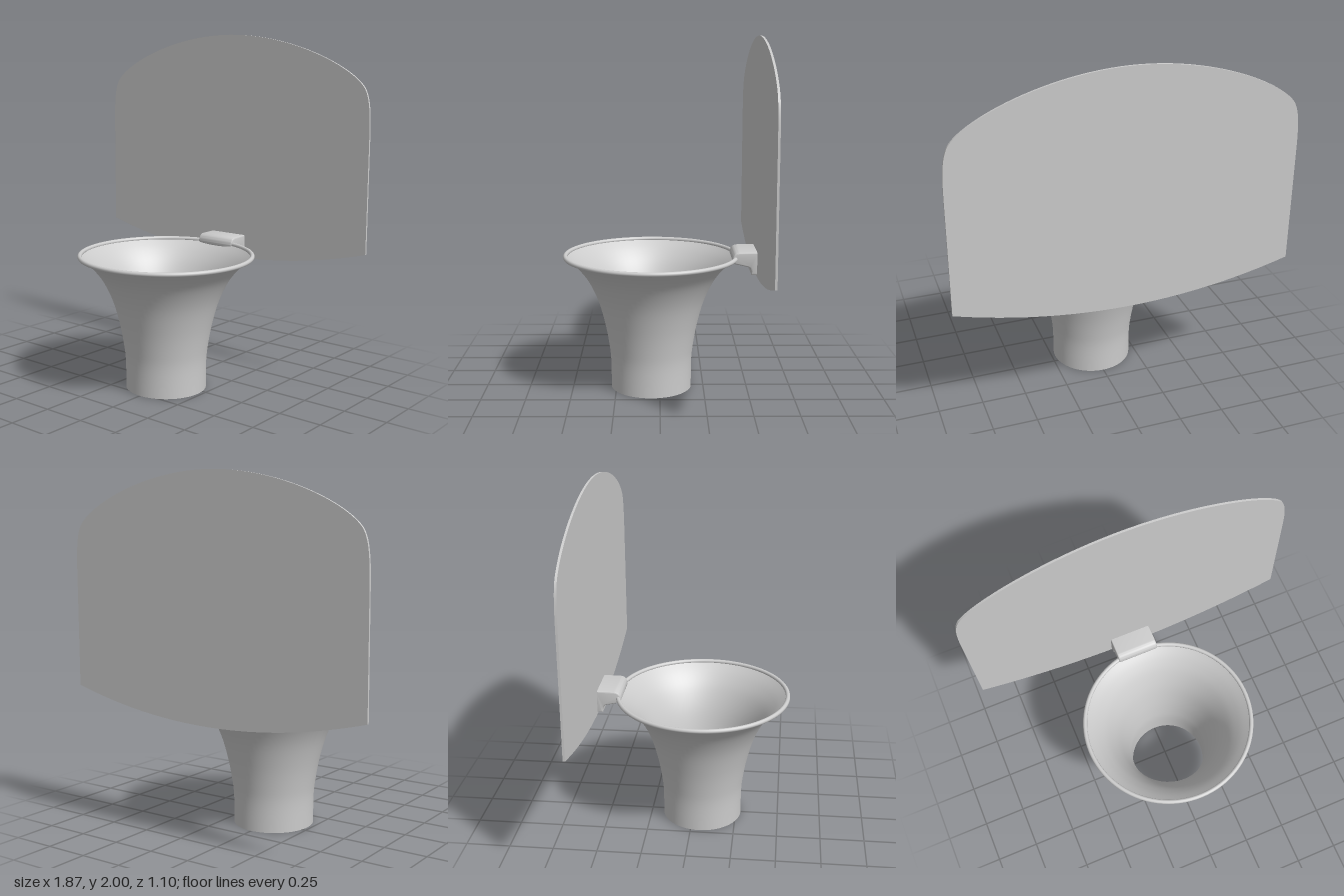
import * as THREE from 'three';
import { toCreasedNormals } from 'three/addons/utils/BufferGeometryUtils.js';

const HOOP_Z = 0.05;
const grey = new THREE.MeshStandardMaterial({ color: 0xcccccc });
const greyDouble = new THREE.MeshStandardMaterial({ color: 0xcccccc, side: THREE.DoubleSide });
const v2 = (pairs) => pairs.map(([x, y]) => new THREE.Vector2(x, y));

function part(name, geometry, material = grey) {
  const mesh = new THREE.Mesh(geometry, material);
  mesh.name = name;
  return mesh;
}

// Thin panel with an arched top, rounded shoulders and a bowed bottom edge
function backboard() {
  const half = 0.935;
  const s = new THREE.Shape();
  s.moveTo(-half, 0.8);
  s.quadraticCurveTo(0, 0.535, half, 0.8);
  s.lineTo(half, 1.45);
  s.bezierCurveTo(half, 1.6, 0.925, 1.67, 0.895, 1.715);
  s.bezierCurveTo(0.81, 1.83, 0.42, 2, 0, 2);
  s.bezierCurveTo(-0.42, 2, -0.81, 1.83, -0.895, 1.715);
  s.bezierCurveTo(-0.925, 1.67, -half, 1.6, -half, 1.45);
  s.closePath();
  const g = new THREE.ExtrudeGeometry(s, { depth: 0.012, bevelEnabled: false, curveSegments: 24 });
  g.translate(0, 0, -0.555);
  return part('backboard', toCreasedNormals(g, 0.5));
}

// Side profile (z, y) swept across x with softened ends
function bracket() {
  const b = 0.008;
  const s = new THREE.Shape();
  s.moveTo(-0.545, 0.802);
  s.lineTo(-0.545, 0.69);
  s.lineTo(-0.52, 0.69);
  s.quadraticCurveTo(-0.52, 0.73, -0.49, 0.735);
  s.lineTo(-0.425, 0.75);
  s.quadraticCurveTo(-0.413, 0.755, -0.414, 0.77);
  s.quadraticCurveTo(-0.418, 0.802, -0.45, 0.802);
  s.closePath();
  const depth = 0.246 - 2 * b;
  const g = new THREE.ExtrudeGeometry(s, {
    depth, bevelSize: b, bevelThickness: b, bevelSegments: 3, curveSegments: 10,
  });
  g.translate(0, 0, -depth / 2);
  g.rotateY(-Math.PI / 2);
  return part('bracket', toCreasedNormals(g, 0.6));
}

// Flared sleeve, open at both ends
function net() {
  const curve = new THREE.SplineCurve(v2([
    [0.23, 0], [0.231, 0.15], [0.241, 0.25], [0.265, 0.38],
    [0.305, 0.52], [0.36, 0.635], [0.42, 0.713], [0.482, 0.77],
  ]));
  const g = new THREE.LatheGeometry(curve.getPoints(32), 72);
  g.translate(0, 0, HOOP_Z);
  return part('net', g, greyDouble);
}

function rim() {
  const g = new THREE.TorusGeometry(0.487, 0.0125, 14, 96);
  g.rotateX(Math.PI / 2);
  g.translate(0, 0.77, HOOP_Z);
  return part('rim', g);
}

export function createModel() {
  const group = new THREE.Group();
  group.name = 'basketballHoop';
  group.add(backboard(), bracket(), rim(), net());
  return group;
}
